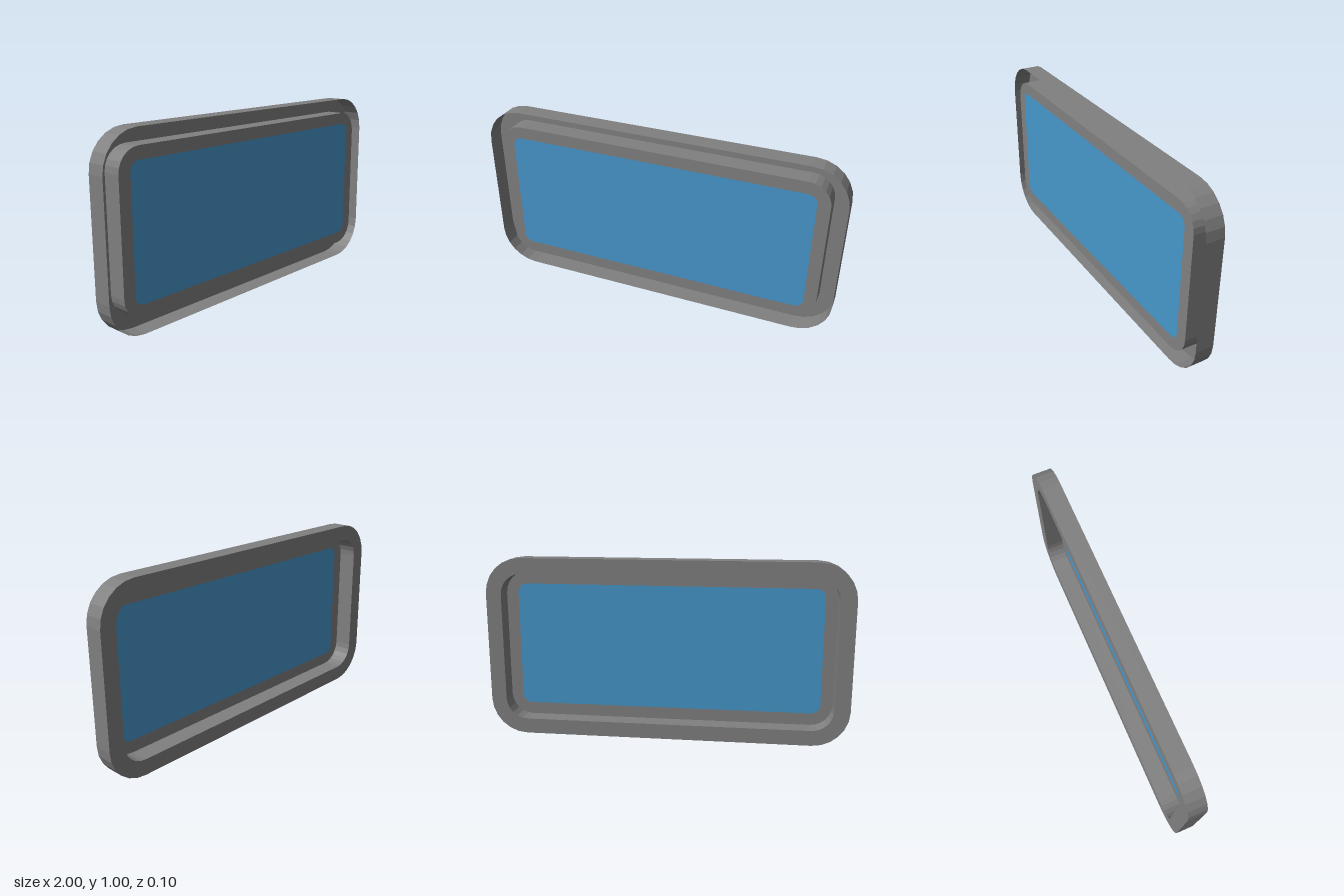
import * as THREE from 'three';

const STEPS = 6; // segments per rounded corner
const HALF_DEPTH = 0.05;

// Counter-clockwise rounded rectangle, inset from the 2 x 1 outer edge
function outline(inset, radius) {
  const w = 1 - inset - radius, h = 0.5 - inset - radius;
  const corners = [[w, h], [-w, h], [-w, -h], [w, -h]];
  const points = [];
  corners.forEach(([cx, cy], c) => {
    for (let i = 0; i <= STEPS; i++) {
      const a = (c + i / STEPS) * Math.PI / 2;
      points.push(new THREE.Vector2(cx + radius * Math.cos(a), 0.5 + cy + radius * Math.sin(a)));
    }
  });
  return points;
}

// Flat sheet at depth z, with an optional opening
function sheet(points, z, hole) {
  const shape = new THREE.Shape(points);
  if (hole) shape.holes.push(new THREE.Path(hole));
  return new THREE.ShapeGeometry(shape).translate(0, 0, z);
}

// Band following an outline from the back plane to the front plane
function wall(points) {
  const positions = [], index = [], n = points.length;
  points.forEach((p, i) => {
    positions.push(p.x, p.y, -HALF_DEPTH, p.x, p.y, HALF_DEPTH);
    const a = 2 * i, b = 2 * ((i + 1) % n);
    index.push(a, b, b + 1, a, b + 1, a + 1);
  });
  const geometry = new THREE.BufferGeometry();
  geometry.setAttribute('position', new THREE.Float32BufferAttribute(positions, 3));
  geometry.setIndex(index);
  const flat = geometry.toNonIndexed();
  flat.computeVertexNormals();
  return flat;
}

export function createModel() {
  const frameGrey = new THREE.MeshStandardMaterial({ color: 0x808080, flatShading: true, side: THREE.DoubleSide });
  frameGrey.name = 'frame grey';
  const glassBlue = new THREE.MeshStandardMaterial({ color: 0x4696cb, flatShading: true, side: THREE.DoubleSide });
  glassBlue.name = 'glass blue';

  const outer = outline(0, 0.2);
  const inner = outline(0.085, 0.12);
  const pane = outline(0.152, 0.05);

  const model = new THREE.Group();
  model.name = 'framedWindow';
  const add = (name, geometry, material) => {
    const mesh = new THREE.Mesh(geometry, material);
    mesh.name = name;
    model.add(mesh);
  };

  // Folded frame: outer rim, back flange, inner wall, front border
  add('outerRim', wall(outer), frameGrey);
  add('backFlange', sheet(outer, -HALF_DEPTH, inner), frameGrey);
  add('innerWall', wall(inner), frameGrey);
  add('frontBorder', sheet(inner, HALF_DEPTH, pane), frameGrey);

  // Glass flush with the front border
  add('glassPane', sheet(pane, HALF_DEPTH), glassBlue);
  return model;
}
